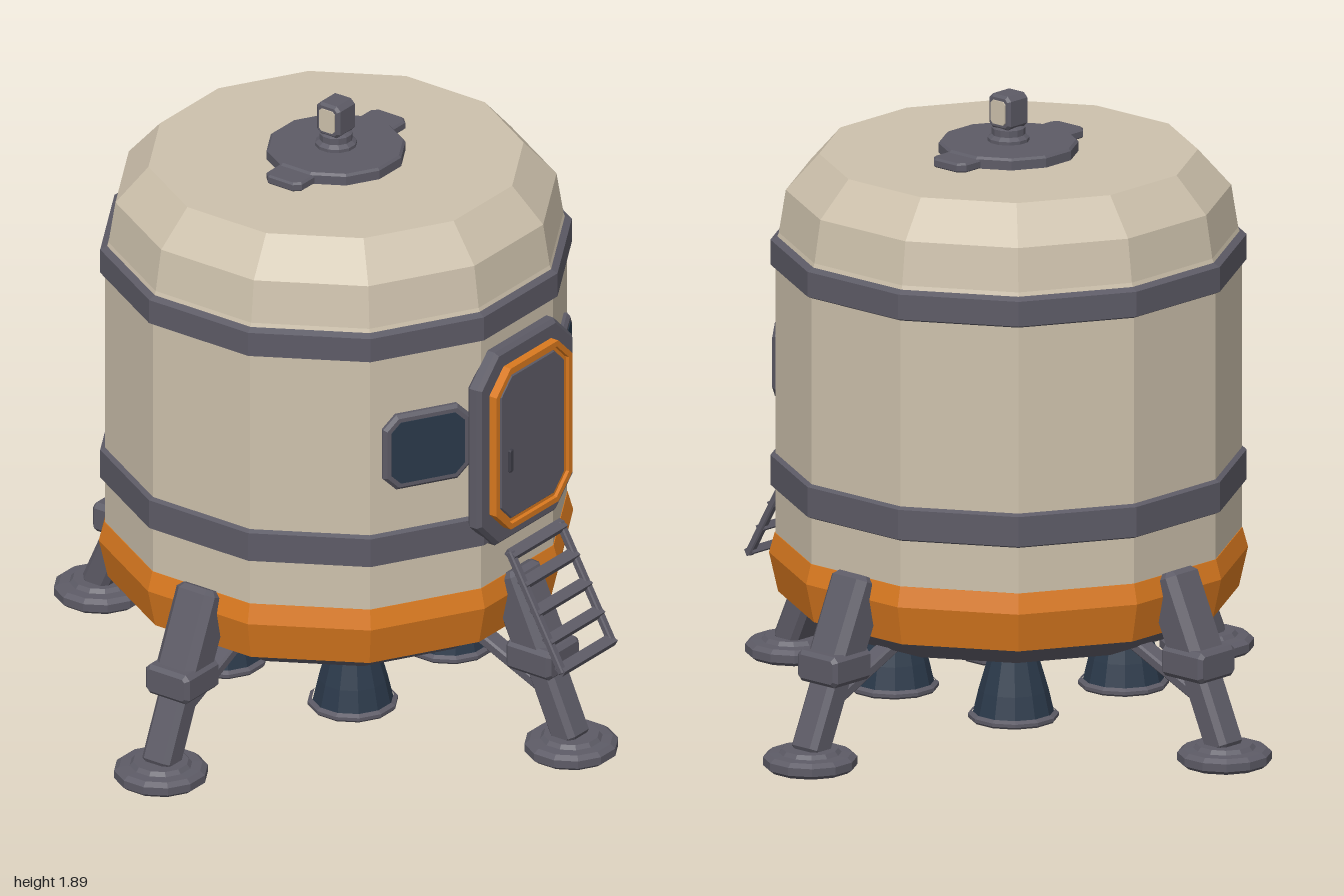
import * as THREE from 'three';

const mat = (name, color) => new THREE.MeshStandardMaterial({ name, color });

export function createModel() {
  const cream = mat('cream', 0xcdc1ac), grey = mat('grey', 0x5d5b66);
  const orange = mat('orange', 0xd9791f), navy = mat('navy', 0x2b394a);
  const dark = mat('dark grey', 0x3f3e48);
  navy.side = THREE.DoubleSide;
  const root = new THREE.Group();
  root.name = 'landerHabitat';

  const group = (name, parent = root) => {
    const g = new THREE.Group();
    g.name = name;
    parent.add(g);
    return g;
  };
  const add = (parent, name, geo, material, x = 0, y = 0, z = 0) => {
    const m = new THREE.Mesh(geo, material);
    m.name = name;
    m.position.set(x, y, z);
    parent.add(m);
    return m;
  };
  const facet = (geo) => {
    const g = geo.index ? geo.toNonIndexed() : geo;
    g.computeVertexNormals();
    return g;
  };
  // Twelve-sided solid of revolution; radii are measured to the flats
  const turned = (profile) => facet(new THREE.LatheGeometry(
    profile.map(([r, y]) => new THREE.Vector2(r / Math.cos(Math.PI / 12), y)), 12, Math.PI / 12));

  // Rectangle with cut corners
  const outline = (w, h, c, T = THREE.Shape) => {
    const x = w / 2, y = h / 2;
    return new T([[x - c, -y], [x, c - y], [x, y - c], [x - c, y], [c - x, y], [-x, y - c], [-x, c - y], [c - x, -y]]
      .map(([a, b]) => new THREE.Vector2(a, b)));
  };
  // Cut-corner plate from z = 0 to z = d with bevelled edges
  const plate = (w, h, d, c, b = 0) => {
    const g = new THREE.ExtrudeGeometry(outline(w, h, c), {
      depth: d - 2 * b, bevelEnabled: b > 0, bevelThickness: b, bevelSize: b, bevelOffset: -b, bevelSegments: 1,
    });
    return facet(g.translate(0, 0, b));
  };
  const ring = (w, h, t, d, c) => {
    const s = outline(w, h, c);
    s.holes.push(outline(w - 2 * t, h - 2 * t, c - t * 0.58, THREE.Path));
    return facet(new THREE.ExtrudeGeometry(s, { depth: d, bevelEnabled: false }));
  };
  // Bar in the z-y plane between two [z, y] points
  const bar = (parent, name, w, d, a, b, material = grey, x = 0) => {
    const dz = b[0] - a[0], dy = b[1] - a[1], len = Math.hypot(dz, dy), c = Math.min(w, d) * 0.18;
    const g = plate(w, d, len, c, c * 0.7).translate(0, 0, -len / 2);
    const m = add(parent, name, g, material, x, (a[1] + b[1]) / 2, (a[0] + b[0]) / 2);
    m.rotation.x = -Math.atan2(dy, dz);
    return m;
  };

  // Hull
  const hull = group('hull');
  add(hull, 'shell', turned([[0.655, 0.5], [0.665, 0.55], [0.665, 1.44], [0.655, 1.47], [0.635, 1.6], [0.54, 1.71], [0, 1.71]]), cream);
  add(hull, 'skirt', turned([[0.6, 0.37], [0.657, 0.37], [0.683, 0.49], [0.667, 0.55], [0.64, 0.55]]), orange);
  add(hull, 'lowerRim', turned([[0.54, 0.3], [0.635, 0.37], [0.6, 0.38]]), grey);
  add(hull, 'underside', turned([[0, 0.3], [0.54, 0.3]]), cream);
  for (const [name, y0, y1] of [['lowerBand', 0.685, 0.8], ['upperBand', 1.36, 1.46]])
    add(hull, name, turned([[0.655, y0], [0.679, y0 + 0.012], [0.679, y1 - 0.012], [0.655, y1]]), grey);

  // Roof cap with side tabs and beacon
  const roof = group('roofCap');
  add(roof, 'roofDisc', turned([[0.2, 1.7], [0.2, 1.738], [0.193, 1.745], [0, 1.745]]), grey);
  add(roof, 'roofTabs', plate(0.13, 0.55, 0.03, 0.02, 0.006).rotateX(-Math.PI / 2), grey, 0, 1.708);
  add(roof, 'beaconNeck', turned([[0.06, 1.74], [0.06, 1.755], [0.048, 1.765], [0.048, 1.785], [0.03, 1.795], [0, 1.795]]), grey);
  add(roof, 'beacon', plate(0.086, 0.105, 0.086, 0.014, 0.008), grey, 0, 1.838, -0.043);
  for (const s of [1, -1]) {
    const lens = add(roof, 'beaconLens', plate(0.056, 0.072, 0.006, 0.008), cream, 0, 1.838, s * 0.041);
    if (s < 0) lens.rotation.y = Math.PI;
  }

  // Hatch
  const hatch = group('hatch');
  hatch.rotation.y = Math.PI / 2;
  hatch.position.y = 1.003;
  add(hatch, 'hatchFrame', plate(0.47, 0.635, 0.05, 0.09, 0.012), grey, 0, 0, 0.653);
  add(hatch, 'hatchTrim', ring(0.375, 0.53, 0.017, 0.03, 0.07), orange, 0, 0, 0.7);
  add(hatch, 'hatchInnerTrim', ring(0.335, 0.49, 0.01, 0.02, 0.057), orange, 0, 0, 0.7);
  add(hatch, 'hatchDoor', plate(0.32, 0.475, 0.024, 0.054, 0.006), grey, 0, 0, 0.7);
  add(hatch, 'hatchHandle', plate(0.02, 0.075, 0.012, 0.005, 0.003), dark, -0.113, -0.04, 0.72);

  // Windows on either side of the hatch
  for (const s of [1, -1]) {
    const w = group('window');
    w.rotation.y = Math.PI / 2 + s * Math.PI / 6;
    w.position.y = 1.057;
    add(w, 'windowFrame', plate(0.28, 0.245, 0.03, 0.042, 0.01), grey, 0, 0, 0.655);
    add(w, 'windowGlass', plate(0.235, 0.2, 0.006, 0.03), navy, 0, 0, 0.681);
  }

  // Legs on the four sides
  for (let i = 0; i < 4; i++) {
    const leg = group('leg');
    leg.rotation.y = i * Math.PI / 2;
    bar(leg, 'upperStrut', 0.14, 0.13, [0.648, 0.545], [0.77, 0.28]);
    bar(leg, 'lowerStrut', 0.1, 0.09, [0.75, 0.31], [0.868, 0.045]);
    add(leg, 'legCollar', plate(0.16, 0.095, 0.165, 0.015, 0.012), grey, 0, 0.297, 0.677);
    bar(leg, 'brace', 0.06, 0.035, [0.48, 0.32], [0.785, 0.185]);
    add(leg, 'footPad', turned([[0, 0], [0.12, 0], [0.135, 0.012], [0.135, 0.036], [0.12, 0.048],
      [0.09, 0.05], [0.08, 0.062], [0, 0.062]]), grey, 0, 0, 0.865);
  }

  // Engine bells
  for (const x of [-0.24, 0.24]) for (const z of [-0.24, 0.24]) {
    const engine = group('engine');
    engine.position.set(x, 0, z);
    add(engine, 'nozzle', turned([[0.118, 0.08], [0.1, 0.16], [0.072, 0.26], [0.066, 0.3]]), navy);
    add(engine, 'nozzleThroat', turned([[0, 0.25], [0.066, 0.27], [0.078, 0.28], [0.078, 0.305]]), navy);
    add(engine, 'nozzleRim', turned([[0.11, 0.09], [0.112, 0.07], [0.125, 0.07], [0.13, 0.076], [0.13, 0.086], [0.118, 0.094]]), grey);
  }

  // Ladder below the hatch
  const ladder = group('ladder');
  ladder.rotation.y = Math.PI / 2;
  const top = [0.73, 0.67], foot = [0.925, 0.325];
  for (const s of [1, -1]) bar(ladder, 'ladderRail', 0.024, 0.022, top, foot, grey, s * 0.123);
  for (let i = 0; i < 5; i++) {
    const t = 0.03 + i * 0.235;
    const rung = add(ladder, 'ladderRung', facet(new THREE.BoxGeometry(0.26, 0.022, 0.034)), grey, 0,
      top[1] + (foot[1] - top[1]) * t, top[0] + (foot[0] - top[0]) * t);
    rung.rotation.x = 0.5;
  }
  return root;
}
